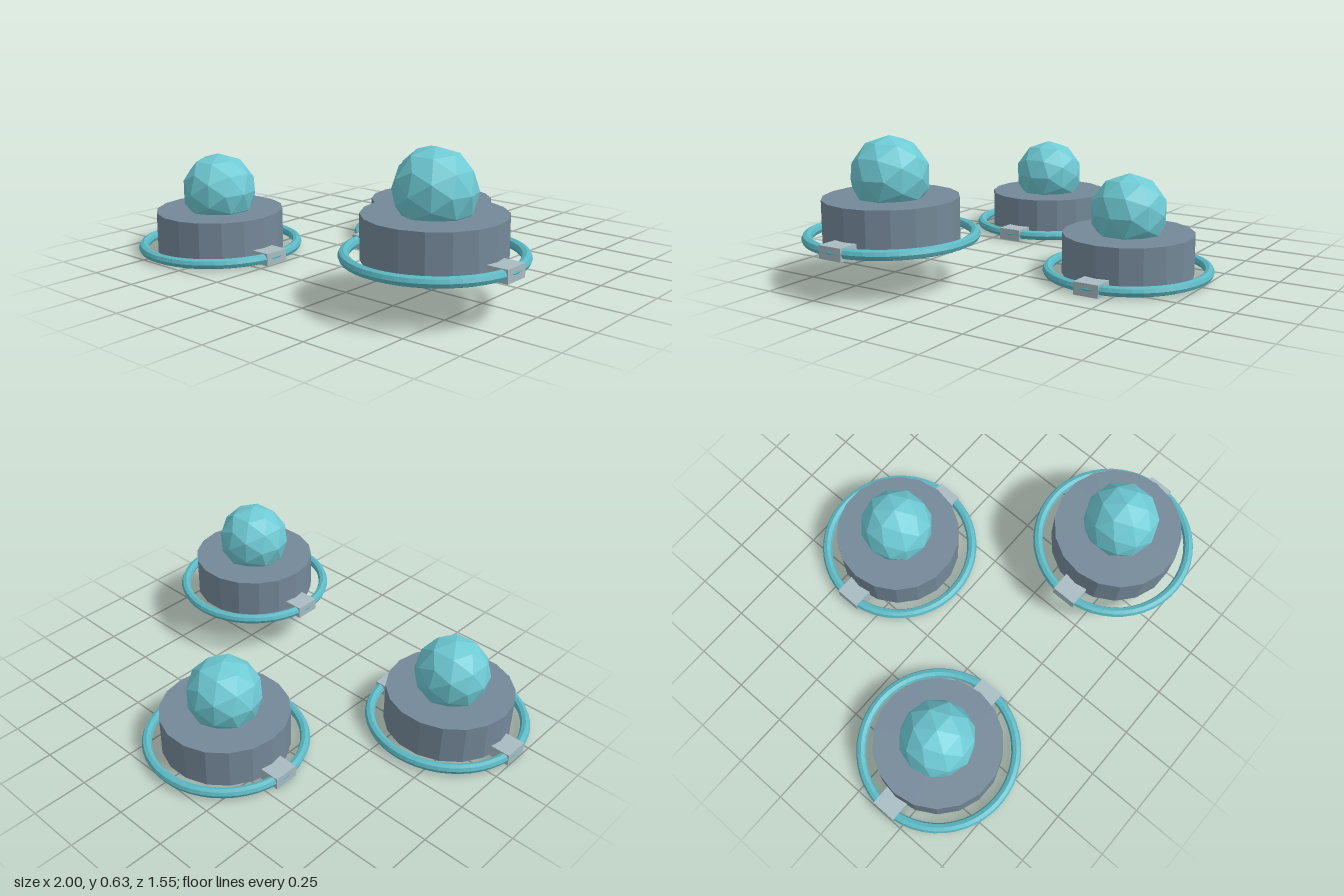
import * as THREE from 'three';

const slate = new THREE.MeshStandardMaterial({ name: 'slate grey', color: 0x748898, flatShading: true });
const aqua = new THREE.MeshStandardMaterial({ name: 'aqua', color: 0x6ecad4, flatShading: true });
const teal = new THREE.MeshStandardMaterial({ name: 'ring teal', color: 0x5cb9c4, flatShading: true });
const silver = new THREE.MeshStandardMaterial({ name: 'pale silver', color: 0xa8bcc2, flatShading: true });

// Shared geometry for the three pods
const drumGeo = new THREE.CylinderGeometry(0.29, 0.29, 0.185, 18, 1, false, Math.PI / 2);
const domeGeo = new THREE.IcosahedronGeometry(0.17, 1);
const ringGeo = new THREE.TorusGeometry(0.3525, 0.0225, 8, 48).rotateX(Math.PI / 2);
const bracketGeo = new THREE.BoxGeometry(0.22, 0.056, 0.116);

function addPart(parent, name, geometry, material, x, y) {
  const mesh = new THREE.Mesh(geometry, material);
  mesh.name = name;
  mesh.position.set(x, y, 0);
  parent.add(mesh);
}

// One pod: drum, faceted ball, floor ring and two brackets holding it
function createPod(name) {
  const pod = new THREE.Group();
  pod.name = name;
  addPart(pod, 'drum', drumGeo, slate, 0, 0.1025);
  addPart(pod, 'ball', domeGeo, aqua, 0, 0.284);
  addPart(pod, 'ring', ringGeo, teal, 0, 0.031);
  addPart(pod, 'leftBracket', bracketGeo, silver, 0.2625, 0.028);
  addPart(pod, 'rightBracket', bracketGeo, silver, -0.2625, 0.028);
  return pod;
}

export function createModel() {
  const model = new THREE.Group();
  model.name = 'podTrio';
  const places = [
    ['rightPod', -0.624, 0, 0.4],
    ['backPod', 0, 0, -0.4],
    ['raisedLeftPod', 0.624, 0.18, 0.4],
  ];
  for (const [name, x, y, z] of places) {
    const pod = createPod(name);
    pod.position.set(x, y, z);
    model.add(pod);
  }
  return model;
}
